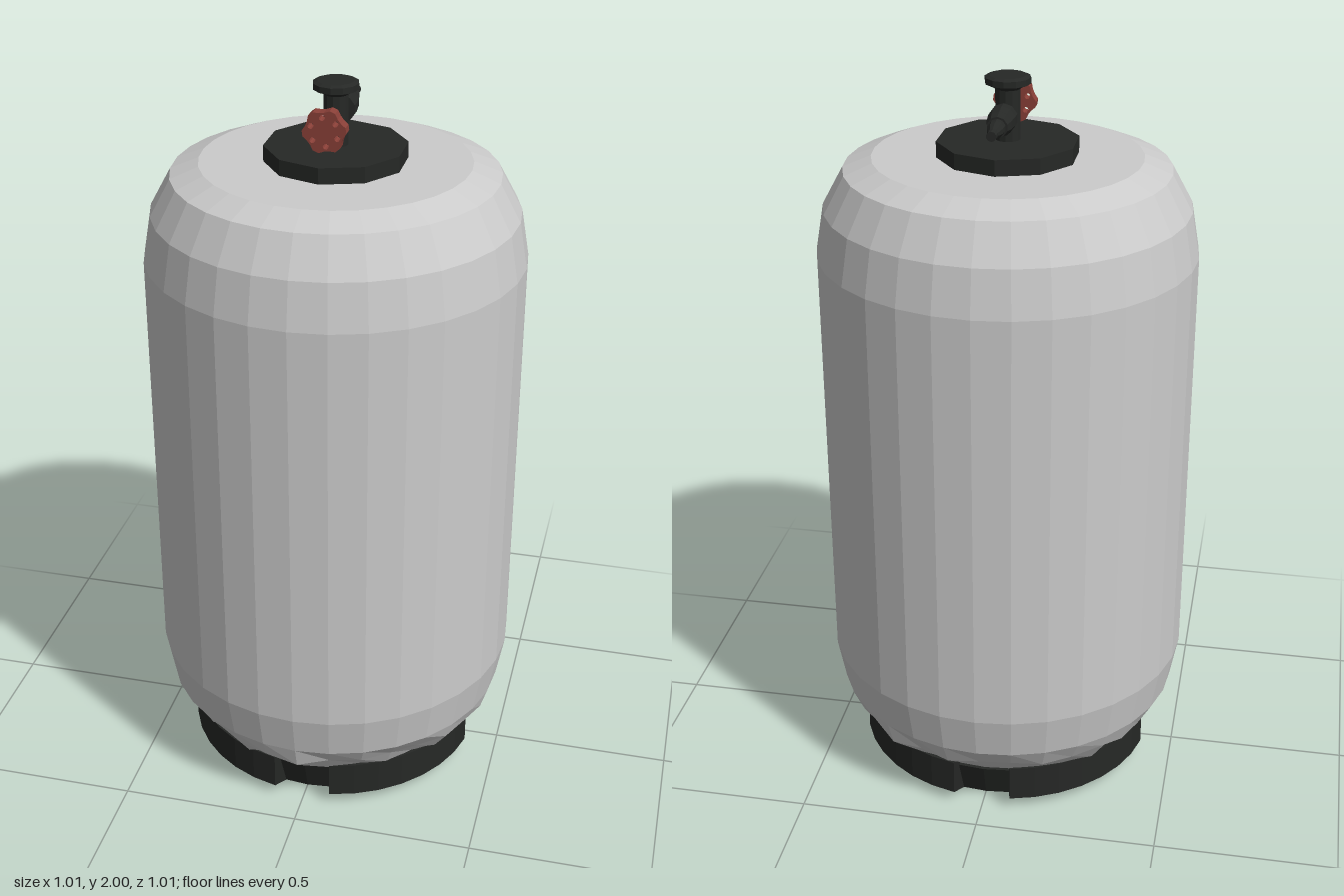
import * as THREE from 'three';

const make = (color) => new THREE.MeshStandardMaterial({ color, flatShading: true, side: THREE.DoubleSide });
const V = (pairs) => pairs.map(([r, y]) => new THREE.Vector2(r, y));

export function createModel() {
  const model = new THREE.Group();
  const steel = make(0xcccccc), black = make(0x262826), red = make(0x8a4038);
  const add = (name, geometry, material, parent = model) => {
    const mesh = new THREE.Mesh(geometry, material);
    mesh.name = name;
    parent.add(mesh);
    return mesh;
  };

  // Tank: 32-sided profile; the two low rows are dented where it meets the foot
  const tankGeo = new THREE.LatheGeometry(V([
    [0, 0.1], [0.37, 0.1], [0.41, 0.135], [0.455, 0.18], [0.485, 0.235], [0.507, 0.355],
    [0.507, 1.535], [0.485, 1.66], [0.43, 1.76], [0.355, 1.79], [0, 1.79],
  ]), 32);
  let seed = 7;
  const rand = () => (seed = (seed * 16807) % 2147483647) / 2147483647 - 0.5;
  const dents = Array.from({ length: 32 }, () => [rand(), rand(), rand(), rand()]);
  const p = tankGeo.attributes.position;
  for (let i = 0; i < p.count; i++) {
    const row = i % 11, d = dents[Math.floor(i / 11) % 32];
    if (row !== 2 && row !== 3) continue;
    const k = 1 + d[row - 2] * 0.06;
    p.setXYZ(i, p.getX(i) * k, p.getY(i) + d[row] * 0.035, p.getZ(i) * k);
  }
  tankGeo.computeVertexNormals();
  add('tank', tankGeo, steel);

  // Foot: inner disc with four outer rim sections, leaving a notch on each side
  const foot = new THREE.Group();
  foot.name = 'foot';
  model.add(foot);
  add('footDisc', new THREE.CylinderGeometry(0.385, 0.35, 0.105, 32).translate(0, 0.0525, 0), black, foot);
  const rim = V([[0.34, 0.002], [0.355, 0.002], [0.422, 0.035], [0.422, 0.138], [0.37, 0.138], [0.34, 0.002]]);
  const half = 0.19, sweep = Math.PI / 2 - 2 * half;
  for (let i = 0; i < 4; i++) {
    const start = i * Math.PI / 2 + half;
    add('footRim', new THREE.LatheGeometry(rim, 7, start, sweep), black, foot);
    for (const a of [start, start + sweep]) {
      add('footRimEnd', new THREE.ShapeGeometry(new THREE.Shape(rim)).rotateY(a - Math.PI / 2), black, foot);
    }
  }

  // Ten-sided collar on top
  add('collar', new THREE.CylinderGeometry(0.187, 0.187, 0.045, 10).translate(0, 1.81, 0), black);

  // Valve: stem with a flanged cap
  const valve = new THREE.Group();
  valve.name = 'valve';
  model.add(valve);
  add('valveStem', new THREE.LatheGeometry(V([
    [0.033, 1.83], [0.033, 1.965], [0.048, 1.975], [0.06, 1.979], [0.06, 1.995], [0.048, 2], [0, 2],
  ]), 12), black, valve);

  // Shaft and stepped hose nozzle along z
  add('shaft', new THREE.CylinderGeometry(0.017, 0.017, 0.19, 10).rotateX(Math.PI / 2).translate(0, 1.905, 0.025), black, valve);
  add('nozzle', new THREE.LatheGeometry(V([
    [0, 0.058], [0.037, 0.06], [0.037, 0.085], [0.033, 0.12], [0.033, 0.123], [0.027, 0.148],
    [0.022, 0.148], [0.022, 0.165], [0.019, 0.175], [0.021, 0.178], [0.015, 0.2], [0.013, 0.203],
    [0.013, 0.229], [0, 0.229],
  ]), 10).rotateX(-Math.PI / 2).translate(0, 1.905, 0), black, valve);

  // Lobed handwheel with small openings near the edge
  const wheel = new THREE.Shape();
  for (let i = 0; i < 24; i++) {
    const a = i * Math.PI / 12, r = i % 4 < 2 ? 0.057 : 0.05;
    wheel[i ? 'lineTo' : 'moveTo'](r * Math.cos(a), r * Math.sin(a));
  }
  for (let i = 0; i < 6; i++) {
    const a = (i + 0.5) * Math.PI / 3 + 0.13;
    const hole = new THREE.Path();
    hole.absarc(0.037 * Math.cos(a), 0.037 * Math.sin(a), 0.008, 0, Math.PI * 2, true);
    wheel.holes.push(hole);
  }
  add('handwheel', new THREE.ExtrudeGeometry(wheel, { depth: 0.033, bevelEnabled: false, curveSegments: 5 })
    .translate(0, 1.905, 0.095), red, valve);

  return model;
}
